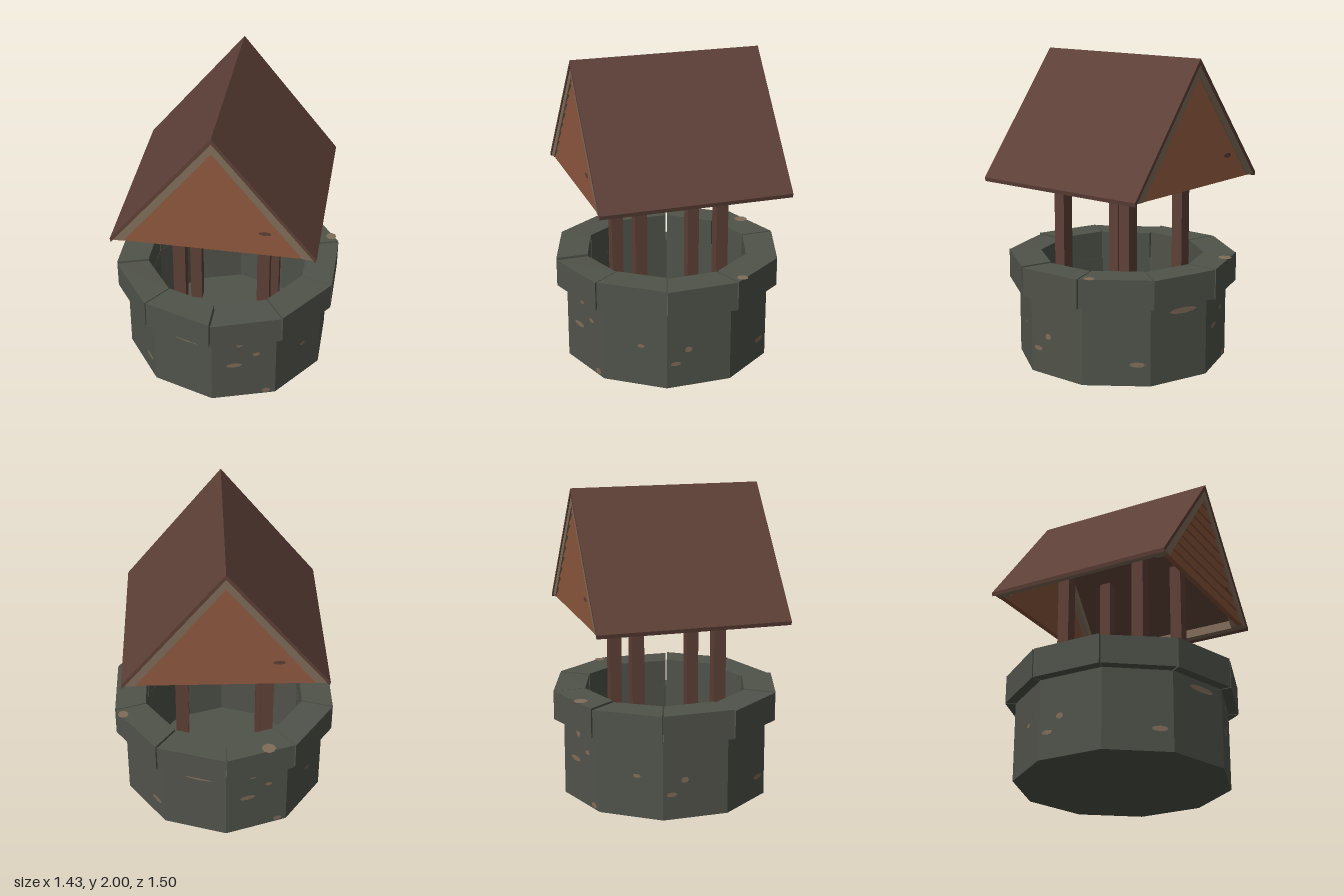
import * as THREE from 'three';
import { ConvexGeometry } from 'three/addons/geometries/ConvexGeometry.js';

const material = (name, color) => {
  const m = new THREE.MeshStandardMaterial({ color });
  m.name = name;
  return m;
};

export function createModel() {
  const stone = material('stone', 0x50534a);
  const wood = material('darkWood', 0x5d4037);
  const siding = material('siding', 0x85523a);
  const trim = material('trim', 0x806c59);
  const root = new THREE.Group();
  root.name = 'well';

  const add = (parent, name, geometry, mat) => {
    const mesh = new THREE.Mesh(geometry, mat);
    mesh.name = name;
    parent.add(mesh);
    return mesh;
  };
  const group = (name, parent = root) => {
    const g = new THREE.Group();
    g.name = name;
    parent.add(g);
    return g;
  };
  const hull = (points) => new ConvexGeometry(points.map((p) => new THREE.Vector3(...p)));
  // Convex outline in x/y, pushed through from z0 to z1
  const prism = (outline, z0, z1) =>
    hull([z0, z1].flatMap((z) => outline.map(([x, y]) => [x, y, z])));

  const SIDES = 10;
  const STEP = (Math.PI * 2) / SIDES;
  const OUTER = 0.685;
  const APOTHEM = OUTER * Math.cos(STEP / 2);

  // Hollow ten-sided wall with a closed floor
  const profile = [[0, 0], [OUTER, 0], [OUTER, 0.51], [0.54, 0.51], [0.54, 0.06], [0, 0.06]];
  const wall = new THREE.LatheGeometry(
    profile.map(([x, y]) => new THREE.Vector2(x, y)), SIDES).toNonIndexed();
  wall.computeVertexNormals();
  add(root, 'wall', wall, stone);

  // Rim of separate, slightly uneven blocks
  const rim = group('rim');
  const dips = [0.012, 0, 0.006, 0, 0.004, 0, 0.008, 0.003, 0.01, 0];
  dips.forEach((dip, k) => {
    const points = [];
    for (const [end, drop] of [[0, dip], [1, dip * 0.4]]) {
      const a = (k + end) * STEP;
      const shift = end ? -0.005 : 0.005;
      for (const r of [0.54, 0.75]) {
        const x = Math.sin(a) * r + Math.cos(a) * shift;
        const z = Math.cos(a) * r - Math.sin(a) * shift;
        points.push([x, 0.51, z], [x, 0.7 - drop, z]);
      }
    }
    add(rim, 'rimBlock', hull(points), stone);
  });

  // Worn patches on the wall: facet, sideways offset, height, width, depth
  const patches = group('wornPatches');
  const spots = [
    [9, 0.03, 0.455, 0.21, 0.04], [0, -0.03, 0.46, 0.05, 0.05], [0, -0.065, 0.28, 0.11, 0.035],
    [0, 0.08, 0.36, 0.05, 0.03], [8, 0.13, 0.14, 0.1, 0.035], [0, 0.15, 0.027, 0.06, 0.04],
    [2, -0.07, 0.255, 0.05, 0.04], [2, -0.155, 0.165, 0.07, 0.03], [1, 0.04, 0.275, 0.05, 0.025],
  ];
  for (const [facet, u, y, w, h] of spots) {
    for (const turn of [0, Math.PI]) {
      const a = (facet + 0.5) * STEP + turn;
      const d = APOTHEM + 0.003;
      const patch = add(patches, 'wallPatch', new THREE.CircleGeometry(0.5, 8), trim);
      patch.scale.set(w, h, 1);
      patch.rotation.y = a;
      patch.position.set(Math.sin(a) * d + Math.cos(a) * u, y, Math.cos(a) * d - Math.sin(a) * u);
    }
  }
  for (const [x, z, r] of [[-0.27, -0.635, 0.045], [0.66, -0.28, 0.035]]) {
    const patch = add(patches, 'rimPatch', new THREE.CircleGeometry(r, 8), trim);
    patch.rotation.x = -Math.PI / 2;
    patch.position.set(x, 0.702, z);
  }

  // Four posts standing on the well floor
  for (const x of [-0.275, 0.275]) {
    for (const z of [-0.272, 0.272]) {
      const post = add(root, 'post', new THREE.BoxGeometry(0.08, 1.53, 0.08), wood);
      post.position.set(x, 0.825, z);
    }
  }

  // Roof slopes with trim strips under the eaves
  const roof = group('roof');
  roof.position.z = 0.005;
  for (const s of [-1, 1]) {
    const side = (outline) => outline.map(([x, y]) => [x * s, y]);
    add(roof, 'roofSlope',
      prism(side([[0, 2], [0.635, 1.21], [0.63, 1.185], [0, 1.965]]), -0.62, 0.62), wood);
    add(roof, 'eaveStrip',
      prism(side([[0.57, 1.2], [0.618, 1.2], [0.57, 1.26]]), -0.6, 0.6), trim);
  }

  // Gables: sloping trim boards, overlapping siding and one knot
  for (const turn of [0, Math.PI]) {
    const gable = group('gable', roof);
    gable.rotation.y = turn;
    for (const s of [-1, 1]) {
      const outline = [[0, 1.968], [0.618, 1.2], [0.55, 1.2], [0, 1.895]];
      add(gable, 'gableTrim', prism(outline.map(([x, y]) => [x * s, y]), 0.53, 0.615), trim);
    }
    const boards = 9;
    const rise = 0.72 / boards;
    for (let i = 0; i < boards; i++) {
      const points = [];
      for (const [y, z] of [[1.2 + i * rise, 0.61], [1.2 + (i + 1) * rise, 0.597]]) {
        const w = Math.max(0.002, 0.57 * (1 - (y - 1.2) / 0.72));
        for (const x of [-w, w]) points.push([x, y, z], [x, y, 0.575]);
      }
      add(gable, 'sidingBoard', hull(points), siding);
    }
    const knot = add(gable, 'knot', new THREE.CircleGeometry(0.5, 8), wood);
    knot.scale.set(0.08, 0.03, 1);
    knot.position.set(0.32, 1.36, 0.612);
  }
  return root;
}
